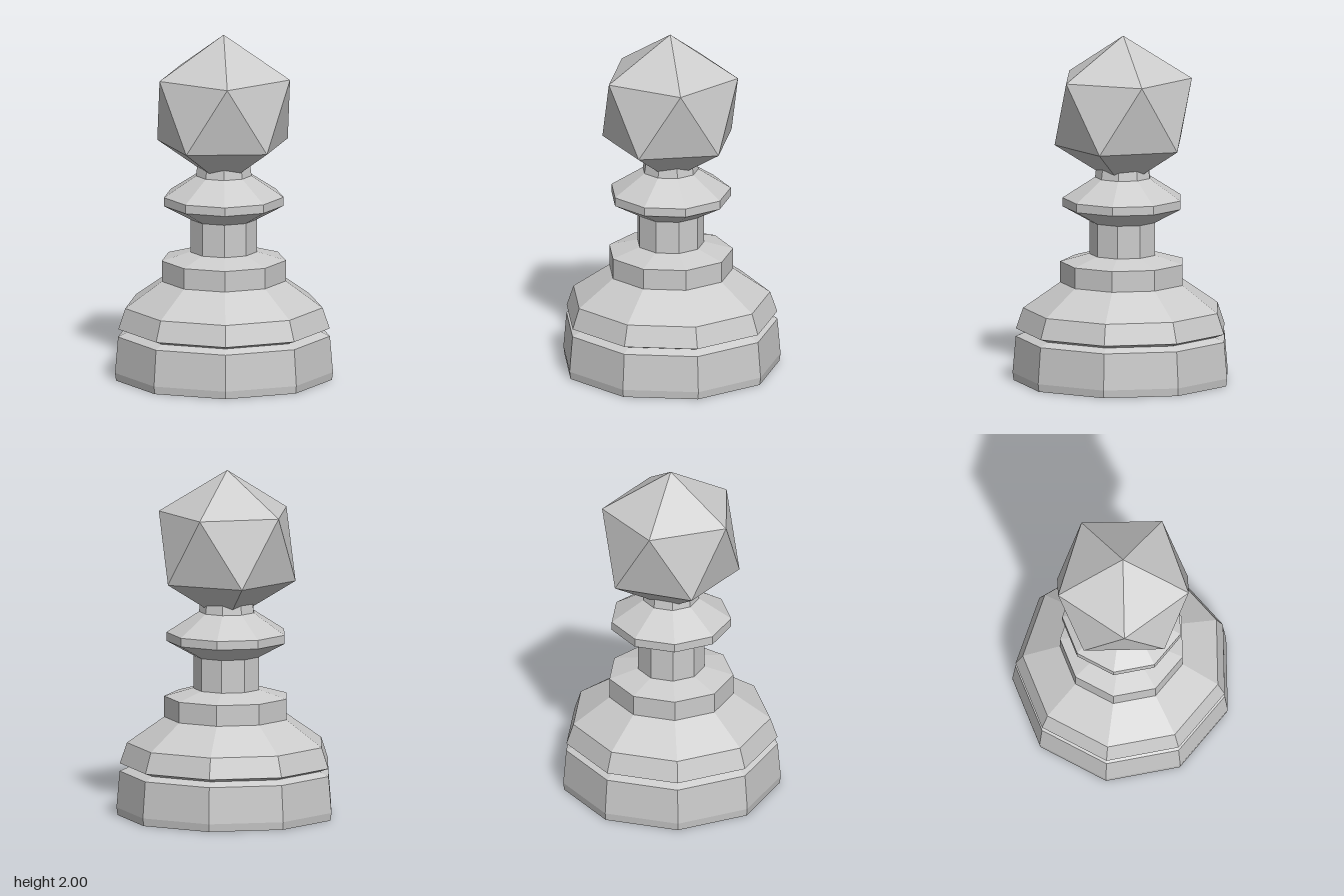
import * as THREE from 'three';

const SIDES = 9;

export function createModel() {
  const pawn = new THREE.Group();
  pawn.name = 'pawn';
  const material = new THREE.MeshStandardMaterial({ color: 0xcccccc, flatShading: true });

  function add(name, geometry) {
    const mesh = new THREE.Mesh(geometry, material);
    mesh.name = name;
    pawn.add(mesh);
    return mesh;
  }

  // Nine-sided turned part with a corner at the back; profile is [radius, y] from bottom to top
  function turned(name, profile) {
    const points = profile.map(([r, y]) => new THREE.Vector2(r, y));
    return add(name, new THREE.LatheGeometry(points, SIDES, Math.PI));
  }

  // Foot with a closed underside, tapering into the groove
  turned('foot', [[0, 0], [0.628, 0], [0.634, 0.045], [0.616, 0.255], [0.56, 0.28]]);

  // Bell-shaped body above the groove
  turned('body', [[0.56, 0.28], [0.615, 0.3], [0.574, 0.42], [0.361, 0.57]]);

  // Stepped shoulder
  turned('shoulder', [[0.361, 0.57], [0.361, 0.69], [0.202, 0.735]]);

  // Narrow stem
  turned('stem', [[0.202, 0.735], [0.193, 0.735], [0.193, 0.925]]);

  // Flared collar and the neck running up into the head
  turned('collar', [[0.193, 0.925], [0.348, 1.01], [0.348, 1.06], [0.162, 1.18]]);
  turned('neck', [[0.162, 1.18], [0.15, 1.27]]);

  // Faceted head: icosahedron turned so that one corner points straight up
  const golden = (1 + Math.sqrt(5)) / 2;
  const head = add('head', new THREE.IcosahedronGeometry(0.44, 0).rotateZ(Math.atan(1 / golden)));
  head.position.y = 1.56;

  // Centre the odd-sided outline on z = 0
  pawn.children.forEach((part) => { part.position.z = 0.017; });
  return pawn;
}
